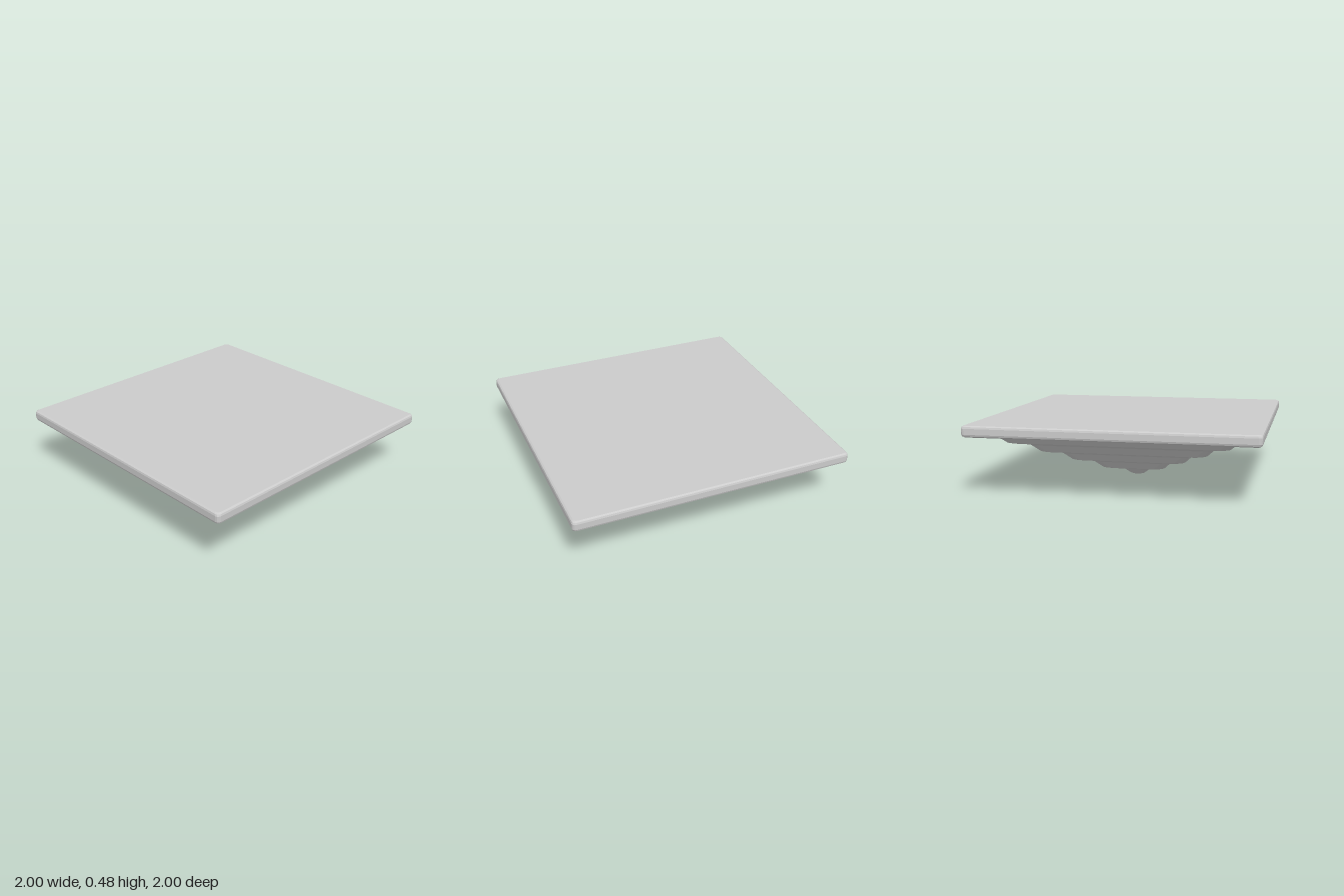
import * as THREE from 'three';

// Outline of a square with rounded corners, as [x, z] points
function squareRing(half, radius, steps = 3) {
  const ring = [];
  for (let k = 0; k < 4; k++) {
    const mid = Math.PI / 4 + (k * Math.PI) / 2;
    const cx = Math.sign(Math.cos(mid)) * (half - radius);
    const cz = Math.sign(Math.sin(mid)) * (half - radius);
    for (let s = 0; s <= steps; s++) {
      const a = (k + s / steps) * Math.PI / 2;
      ring.push([cx + radius * Math.cos(a), cz + radius * Math.sin(a)]);
    }
  }
  return ring;
}

// Skins a profile of [half width, y, corner radius] rows, from bottom to top
function loftSquares(profile) {
  const rings = profile.map(([h, y, r]) => squareRing(h, r).map(([x, z]) => [x, y, z]));
  const positions = [];
  for (let i = 0; i < rings.length - 1; i++) {
    const lower = rings[i], upper = rings[i + 1], n = lower.length;
    for (let j = 0; j < n; j++) {
      const k = (j + 1) % n;
      if (profile[i][0] > 0) positions.push(...lower[j], ...upper[j], ...lower[k]);
      if (profile[i + 1][0] > 0) positions.push(...lower[k], ...upper[j], ...upper[k]);
    }
  }
  const geometry = new THREE.BufferGeometry();
  geometry.setAttribute('position', new THREE.Float32BufferAttribute(positions, 3));
  geometry.computeVertexNormals();
  return geometry;
}

export function createModel() {
  const group = new THREE.Group();
  group.name = 'steppedPanel';
  const material = new THREE.MeshStandardMaterial({ color: 0xcccccc, flatShading: true });
  const add = (name, profile) => {
    const mesh = new THREE.Mesh(loftSquares(profile), material);
    mesh.name = name;
    group.add(mesh);
  };

  // Inverted stepped pyramid: small tip, then four sloping steps
  const underside = [[0, 0, 0], [0.03, 0.006, 0.025], [0.053, 0.014, 0.04], [0.105, 0.055, 0.06]];
  for (let i = 0; i < 4; i++) {
    const h = 0.235 + i * 0.181, y = 0.084 + i * 0.084;
    underside.push(
      [h - 0.11, y - 0.023, 0.06],
      [h - 0.02, y - 0.006, 0.07],
      [h, y, 0.07],
      [h + 0.055, y + 0.052, 0.07],
    );
  }
  underside.push([0.87, 0.394, 0.06], [0.93, 0.398, 0.05]);
  add('steppedUnderside', underside);

  // Flat square slab with softened edges
  add('slab', [
    [0.93, 0.398, 0.05], [0.985, 0.4, 0.025], [0.996, 0.408, 0.025], [1, 0.42, 0.025],
    [1, 0.46, 0.025], [0.996, 0.472, 0.025], [0.985, 0.479, 0.025], [0, 0.48, 0],
  ]);

  return group;
}
